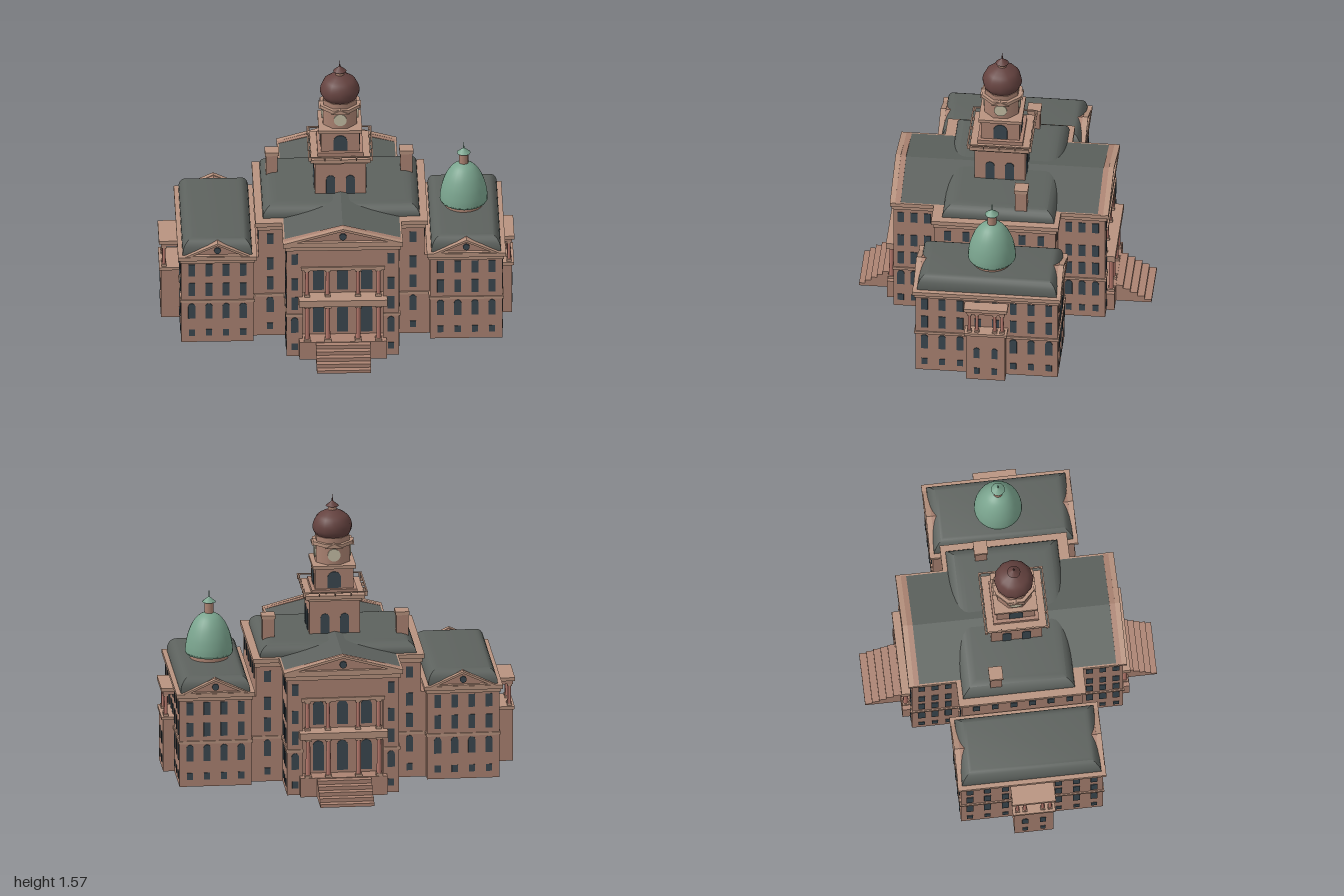
import * as THREE from 'three';
import { mergeGeometries, toCreasedNormals } from 'three/addons/utils/BufferGeometryUtils.js';

const paint = (color, side = THREE.FrontSide) => new THREE.MeshStandardMaterial({ color, side });
const WALL = paint(0xab8372), TRIM = paint(0xb8937f), ROOF = paint(0x5d625e), GLASS = paint(0x3b4850),
  COLUMN = paint(0xb4776b), GREEN = paint(0x7aa48e), MAROON = paint(0x64423f), CLOCK = paint(0xc4bda4);

function add(parent, name, geometry, material, x = 0, y = 0, z = 0) {
  const m = new THREE.Mesh(geometry, material);
  m.name = name;
  m.position.set(x, y, z);
  parent.add(m);
  return m;
}
// Box given by its ranges along x, y and z
const box = (parent, name, mat, [x0, x1], [y0, y1], [z0, z1]) =>
  add(parent, name, new THREE.BoxGeometry(x1 - x0, y1 - y0, z1 - z0), mat,
    (x0 + x1) / 2, (y0 + y1) / 2, (z0 + z1) / 2);
const grow = ([a, b], d) => [a - d, b + d];

function group(parent, name, x = 0, z = 0, turn = 0) {
  const g = new THREE.Group();
  g.name = name;
  g.position.set(x, 0, z);
  g.rotation.y = turn;
  parent.add(g);
  return g;
}

// One window pane: rectangle, or rectangle with a round head
function pane(x, y0, y1, w, arched) {
  const s = new THREE.Shape(), r = w / 2;
  s.moveTo(-r, y0);
  s.lineTo(r, y0);
  s.lineTo(r, arched ? y1 - r : y1);
  if (arched) s.absarc(0, y1 - r, r, 0, Math.PI, false);
  else s.lineTo(-r, y1);
  s.closePath();
  const g = new THREE.ExtrudeGeometry(s, { depth: 0.006, bevelEnabled: false, curveSegments: 8 });
  return g.translate(x, 0, -0.002);
}
// Grid of windows on a wall facing local +z; rows are [y0, y1, width, arched]
function windows(parent, name, x, z, turn, cols, rows) {
  const g = group(parent, name, x, z, turn);
  add(g, 'panes', mergeGeometries(cols.flatMap(c => rows.map(r => pane(c, ...r)))), GLASS);
}
const spread = (n, step) => Array.from({ length: n }, (_, i) => (i - (n - 1) / 2) * step);
const ROWS = [[0.04, 0.08, 0.034], [0.15, 0.245, 0.04, true], [0.295, 0.375, 0.038], [0.42, 0.495, 0.038]];
const TALL = [...ROWS, [0.585, 0.65, 0.038]];

// Rounded mansard roof on a rectangle
function mansard(parent, name, cx, cz, hx, hz, y, rise, round) {
  const a = hx - round, b = hz - round;
  const s = new THREE.Shape([[-a, -b], [a, -b], [a, b], [-a, b]].map(p => new THREE.Vector2(...p)));
  const g = new THREE.ExtrudeGeometry(s, { depth: 0.002, bevelSize: round, bevelThickness: rise, bevelSegments: 6 });
  g.rotateX(-Math.PI / 2);
  add(parent, name, toCreasedNormals(g, 0.6), ROOF, cx, y, cz);
}

// Triangular prism with its front end at z = depth
function prism(parent, name, mat, half, h, y, z0, depth, hole = 0) {
  const tri = (w, t, b) => [[-w, b], [w, b], [0, t]].map(p => new THREE.Vector2(...p));
  const s = new THREE.Shape(tri(half, h, 0));
  if (hole) s.holes.push(new THREE.Path(tri(half * (1 - hole), h * (1 - hole * 0.65), h * hole * 0.35)));
  return add(parent, name, new THREE.ExtrudeGeometry(s, { depth, bevelEnabled: false }), mat, 0, y, z0);
}
function pediment(parent, half, h, y, z, depth) {
  prism(parent, 'pedimentWall', WALL, half, h - 0.004, y, z - depth, depth - 0.02);
  prism(parent, 'rakingCornice', TRIM, half, h, y, z - 0.03, 0.03, 0.24);
  const eye = add(parent, 'roundWindow', new THREE.CylinderGeometry(h * 0.22, h * 0.22, 0.016, 16), GLASS, 0, y + h * 0.4, z - 0.018);
  eye.rotation.x = Math.PI / 2;
}

function column(parent, x, z, y0, y1, r) {
  add(parent, 'columnShaft', new THREE.CylinderGeometry(r * 0.85, r, y1 - y0, 12), COLUMN, x, (y0 + y1) / 2, z);
  for (const y of [y0 + 0.007, y1 - 0.007])
    add(parent, 'columnBlock', new THREE.BoxGeometry(r * 2.7, 0.014, r * 2.7), TRIM, x, y, z);
}

const lathe = (pts, n) => new THREE.LatheGeometry(new THREE.SplineCurve(pts.map(p => new THREE.Vector2(...p))).getPoints(24), n);
// Small lantern with a conical cap and a spike
function lantern(parent, x, y, z, r, h) {
  add(parent, 'lantern', new THREE.CylinderGeometry(r, r, h, 12), WALL, x, y + h / 2, z);
  return (mat) => {
    add(parent, 'lanternCap', new THREE.ConeGeometry(r * 1.5, 0.032, 12), mat, x, y + h + 0.016, z);
    add(parent, 'spike', new THREE.CylinderGeometry(0.002, 0.004, 0.04, 6), mat, x, y + h + 0.045, z);
  };
}

// End wing; s is +1 or -1
function wing(root, s, porchOut) {
  const g = group(root, s > 0 ? 'leftWing' : 'rightWing', s * 0.697, 0, s > 0 ? 0 : Math.PI);
  const X = [-0.203, 0.203], Z = [-0.4, 0.4];
  box(g, 'wingWalls', WALL, X, [0, 0.52], Z);
  box(g, 'stringCourse', TRIM, grow(X, 0.007), [0.252, 0.268], grow(Z, 0.007));
  box(g, 'frieze', TRIM, grow(X, 0.008), [0.505, 0.525], grow(Z, 0.008));
  box(g, 'cornice', TRIM, grow(X, 0.018), [0.525, 0.548], grow(Z, 0.018));
  mansard(g, 'wingRoof', 0, 0, 0.195, 0.392, 0.553, 0.08, 0.06);
  for (const t of [0, Math.PI]) {
    const end = group(g, 'wingEnd', 0, 0, t);
    windows(end, 'endWindows', 0, 0.4, 0, spread(4, 0.096), ROWS);
    pediment(end, 0.185, 0.085, 0.547, 0.415, 0.09);
  }
  windows(g, 'sideWindows', 0.203, 0, Math.PI / 2, spread(8, 0.1), ROWS);

  // Side porch with a columned upper storey
  const p = group(g, 'sidePorch', 0.203, 0, 0), out = porchOut;
  box(p, 'porchBase', WALL, [0, out], [0, 0.305], [-0.11, 0.11]);
  box(p, 'porchLedge', TRIM, [0, out + 0.01], [0.305, 0.322], [-0.12, 0.12]);
  box(p, 'porchEntablature', WALL, [0, out], [0.45, 0.472], [-0.108, 0.108]);
  box(p, 'porchCornice', TRIM, [0, out + 0.012], [0.472, 0.492], [-0.122, 0.122]);
  for (const z of [-0.092, -0.05, 0.05, 0.092]) column(p, out - 0.017, z, 0.32, 0.452, 0.01);
  windows(p, 'porchWindows', out, 0, Math.PI / 2, spread(2, 0.1), [[0.04, 0.08, 0.03], [0.15, 0.22, 0.034, true]]);
}

// Gabled centre projection with a two-storey loggia; faces local +z
function gableFront(root, name, turn, front, stairEnd) {
  const g = group(root, name, 0, 0, turn), H = 0.315, R = 0.225, back = front - 0.05, zc = (0.35 + front) / 2;
  box(g, 'gableBody', WALL, [-H, H], [0, 0.7], [0.2, back]);
  box(g, 'gableLintel', WALL, [-H, H], [0.56, 0.7], [back, front]);
  for (const s of [-1, 1]) {
    box(g, 'gablePier', WALL, [s * (H + R) / 2 - (H - R) / 2, s * (H + R) / 2 + (H - R) / 2], [0, 0.56], [back, front]);
    windows(g, 'gableSideWindows', s * H, zc, s * Math.PI / 2, spread(3, 0.075), TALL);
    box(g, 'sideString', TRIM, [s > 0 ? R : -H - 0.007, s > 0 ? H + 0.007 : -R], [0.252, 0.268], [0.3, front + 0.007]);
  }
  windows(g, 'pierWindows', 0, front, 0, [-0.27, 0.27], TALL);
  windows(g, 'loggiaWindows', 0, back, 0, [-0.135, 0, 0.135], [[0.125, 0.3, 0.062, true], [0.395, 0.535, 0.062, true]]);
  box(g, 'loggiaHead', TRIM, [-R - 0.01, R + 0.01], [0.548, 0.568], [back, front + 0.01]);
  box(g, 'gableFrieze', TRIM, [-H - 0.01, H + 0.01], [0.675, 0.7], [0.25, front + 0.01]);
  box(g, 'gableCornice', TRIM, [-H - 0.02, H + 0.02], [0.7, 0.725], [0.25, front + 0.02]);
  prism(g, 'gableRoof', ROOF, H + 0.018, 0.082, 0.723, 0, front - 0.012);
  pediment(g, H + 0.022, 0.092, 0.723, front + 0.02, 0.06);

  // Portico columns, balcony and stairs
  const edge = front + 0.045;
  box(g, 'porticoFloor', WALL, [-0.245, 0.245], [0, 0.11], [back, edge]);
  box(g, 'balcony', TRIM, [-0.248, 0.248], [0.336, 0.375], [back, edge + 0.005]);
  for (const x of [-0.2, -0.085, 0.085, 0.2]) {
    column(g, x, edge - 0.022, 0.11, 0.338, 0.014);
    column(g, x, front - 0.012, 0.375, 0.55, 0.012);
  }
  const n = 5, tread = (stairEnd - edge) / n;
  for (let i = 0; i < n; i++)
    box(g, 'step', WALL, [-0.152, 0.152], [0, 0.11 * (n - i) / n - 0.004], [edge - 0.01, edge + tread * (i + 1)]);
}

function clockTower(root) {
  const g = group(root, 'clockTower');
  const square = (name, mat, h, y0, y1) => box(g, name, mat, [-h, h], [y0, y1], [-h, h]);
  square('towerBase', WALL, 0.143, 0.74, 0.99);
  square('towerBaseTrim', TRIM, 0.152, 0.985, 1.0);
  square('towerLedge', TRIM, 0.168, 1.0, 1.022);
  square('towerPlinth', WALL, 0.128, 1.022, 1.045);
  square('belfry', WALL, 0.108, 1.04, 1.165);
  square('belfryCornice', TRIM, 0.122, 1.163, 1.182);
  const oct = (name, mat, r, y0, y1) =>
    add(g, name, new THREE.CylinderGeometry(r, r, y1 - y0, 8).rotateY(Math.PI / 8).toNonIndexed(), mat, 0, (y0 + y1) / 2, 0);
  oct('clockDrum', WALL, 0.104, 1.18, 1.285);
  oct('drumCornice', TRIM, 0.12, 1.285, 1.305);
  oct('domeBase', WALL, 0.1, 1.305, 1.335);
  for (let i = 0; i < 4; i++) {
    const f = group(g, 'towerFace', 0, 0, i * Math.PI / 2);
    windows(f, 'baseWindows', 0, 0.143, 0, [-0.055, 0.055], [[0.795, 0.91, 0.05, true]]);
    windows(f, 'belfryWindow', 0, 0.108, 0, [0], [[1.05, 1.145, 0.078, true]]);
    box(f, 'balconyRail', TRIM, [-0.182, 0.182], [1.04, 1.047], [0.174, 0.182]);
    for (const x of spread(5, 0.089)) box(f, 'railPost', TRIM, [x - 0.003, x + 0.003], [1.02, 1.042], [0.165, 0.179]);
    const c = add(f, 'clockFace', new THREE.CylinderGeometry(0.036, 0.036, 0.014, 20), CLOCK, 0, 1.238, 0.096);
    c.rotation.x = Math.PI / 2;
    prism(f, 'clockHood', TRIM, 0.05, 0.026, 1.283, 0.075, 0.044);
  }
  add(g, 'onionDome', lathe([[0.088, 1.33], [0.108, 1.36], [0.109, 1.4], [0.09, 1.44], [0.055, 1.465], [0.022, 1.48]], 12), MAROON);
  lantern(g, 0, 1.465, 0, 0.025, 0.035)(MAROON);
}

export function createModel() {
  const model = new THREE.Group();
  model.name = 'courthouse';
  const root = group(model, 'building', 0, 0, Math.PI / 6);

  // Central block
  const X = [-0.465, 0.465], Z = [-0.345, 0.335];
  box(root, 'coreWalls', WALL, [-0.5, 0.5], [0, 0.5], Z);
  box(root, 'coreUpperWalls', WALL, X, [0.5, 0.7], Z);
  box(root, 'coreString', TRIM, [-0.5, 0.5], [0.252, 0.268], grow(Z, 0.007));
  box(root, 'coreFrieze', TRIM, grow(X, 0.008), [0.675, 0.7], grow(Z, 0.008));
  box(root, 'coreCornice', TRIM, grow(X, 0.018), [0.7, 0.725], grow(Z, 0.018));
  mansard(root, 'coreRoof', 0, -0.02, 0.44, 0.315, 0.727, 0.065, 0.085);
  windows(root, 'coreFrontWindows', 0, Z[1], 0, [-0.4, 0.4], TALL);
  windows(root, 'coreBackWindows', 0, Z[0], Math.PI, [-0.4, 0.4], TALL);
  for (const s of [-1, 1]) {
    windows(root, 'coreSideWindows', s * X[1], 0, s * Math.PI / 2, spread(6, 0.105), [[0.585, 0.65, 0.038]]);
    const cx = s * 0.377;
    box(root, 'chimney', WALL, [cx - 0.033, cx + 0.033], [0.72, 0.905], [-0.178, -0.112]);
    box(root, 'chimneyCap', TRIM, [cx - 0.039, cx + 0.039], [0.9, 0.92], [-0.184, -0.106]);
  }

  gableFront(root, 'frontGable', 0, 0.58, 0.79);
  gableFront(root, 'backGable', Math.PI, 0.61, 0.855);
  wing(root, 1, 0.063);
  wing(root, -1, 0.105);
  clockTower(root);

  // Green dome over the left wing
  const d = group(root, 'greenDome', 0.695, -0.01);
  add(d, 'domeDrum', new THREE.CylinderGeometry(0.108, 0.108, 0.06, 24), WALL, 0, 0.635, 0);
  add(d, 'domeRim', new THREE.CylinderGeometry(0.135, 0.128, 0.012, 24), GREEN, 0, 0.666, 0);
  add(d, 'domeShell', lathe([[0.134, 0.67], [0.132, 0.71], [0.12, 0.77], [0.096, 0.83], [0.062, 0.875], [0.02, 0.9]], 24), GREEN);
  lantern(d, 0, 0.89, 0, 0.026, 0.07)(GREEN);
  return model;
}
